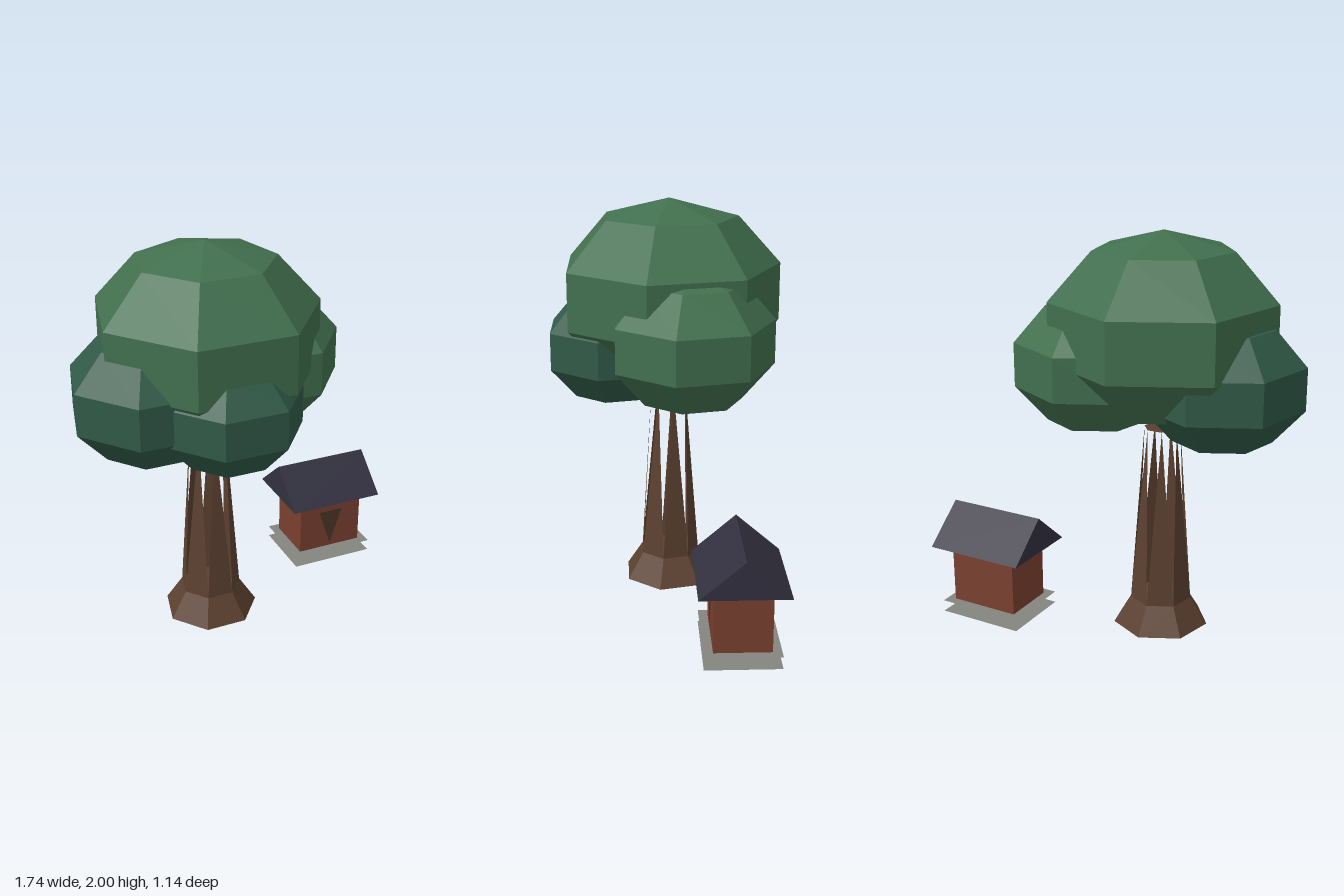
import * as THREE from 'three';

const SIDES = 7;
const TREE_X = -0.187, TREE_Z = -0.02;

function material(color, side = THREE.FrontSide) {
  return new THREE.MeshStandardMaterial({ color, flatShading: true, side });
}

function addMesh(parent, name, geometry, mat, x = 0, y = 0, z = 0) {
  const mesh = new THREE.Mesh(geometry, mat);
  mesh.name = name;
  mesh.position.set(x, y, z);
  parent.add(mesh);
  return mesh;
}

// Point on a seven-sided ring; step 0 points to the back (-z)
function ringPoint(radius, y, step) {
  const a = Math.PI + (step * Math.PI * 2) / SIDES;
  return [radius * Math.sin(a), y, radius * Math.cos(a)];
}

// Ring of tall blades, each rising from one side of the root to a point
function bladesGeometry(r0, y0, r1, y1) {
  const points = [];
  for (let i = 0; i < SIDES; i++) {
    points.push(...ringPoint(r0, y0, i), ...ringPoint(r0, y0, i + 1), ...ringPoint(r1, y1, i + 0.5));
  }
  const geometry = new THREE.BufferGeometry();
  geometry.setAttribute('position', new THREE.Float32BufferAttribute(points, 3));
  geometry.computeVertexNormals();
  return geometry;
}

function createTree() {
  const tree = new THREE.Group();
  tree.name = 'tree';
  const bark = material(0x5c4030);
  const thinBark = material(0x5c4030, THREE.DoubleSide);

  // Flared root and open trunk
  const root = new THREE.CylinderGeometry(0.155, 0.242, 0.136, SIDES).rotateY(Math.PI);
  addMesh(tree, 'rootFlare', root, bark, TREE_X, 0.068, TREE_Z);
  addMesh(tree, 'trunkBlades', bladesGeometry(0.155, 0.136, 0.09, 1.04), thinBark, TREE_X, 0, TREE_Z);
  const cap = new THREE.CircleGeometry(0.09, SIDES).rotateX(-Math.PI / 2).rotateY(-Math.PI / 2);
  addMesh(tree, 'trunkTop', cap, thinBark, TREE_X, 1.04, TREE_Z);

  // Leaf clumps: name, x, y, z, radius, half height, colour
  const clumps = [
    ['mainCrown', TREE_X, 1.533, TREE_Z, 0.581, 0.467, 0x42704f],
    ['leftClump', 0.12, 1.355, -0.115, 0.425, 0.35, 0x42704f],
    ['rightClump', -0.49, 1.297, 0.01, 0.415, 0.336, 0x315a48],
    ['frontClump', TREE_X, 1.267, 0.254, 0.369, 0.303, 0x315a48],
  ];
  for (const [name, x, y, z, r, h, color] of clumps) {
    const geometry = new THREE.SphereGeometry(1, SIDES, 5).rotateY(-Math.PI / 2).scale(r, h, r);
    addMesh(tree, name, geometry, material(color), x, y, z);
  }
  return tree;
}

function createHouse() {
  const house = new THREE.Group();
  house.name = 'house';
  house.position.set(0.61, 0, -0.323);

  // Two thin foundation sheets
  const stone = material(0x85857f, THREE.DoubleSide);
  for (const [name, y] of [['lowerSlab', 0], ['upperSlab', 0.06]]) {
    addMesh(house, name, new THREE.PlaneGeometry(0.455, 0.365).rotateX(-Math.PI / 2), stone, 0, y, 0);
  }

  addMesh(house, 'walls', new THREE.BoxGeometry(0.366, 0.308, 0.275), material(0x7a4030), 0, 0.216, 0);

  // Gable roof with its ridge along x
  const gable = new THREE.Shape([
    new THREE.Vector2(-0.213, 0.37), new THREE.Vector2(0.213, 0.37), new THREE.Vector2(0, 0.555),
  ]);
  const roof = new THREE.ExtrudeGeometry(gable, { depth: 0.52, bevelEnabled: false });
  roof.translate(0, 0, -0.26).rotateY(Math.PI / 2);
  addMesh(house, 'roof', roof, material(0x32303f));

  // Pointed door panel
  const door = new THREE.Shape([
    new THREE.Vector2(-0.07, 0.29), new THREE.Vector2(0, 0.08), new THREE.Vector2(0.07, 0.29),
  ]);
  addMesh(house, 'door', new THREE.ShapeGeometry(door), material(0x4a3626, THREE.DoubleSide), 0, 0, 0.142);
  return house;
}

export function createModel() {
  const model = new THREE.Group();
  model.name = 'treeAndHouse';
  model.add(createTree(), createHouse());
  return model;
}
